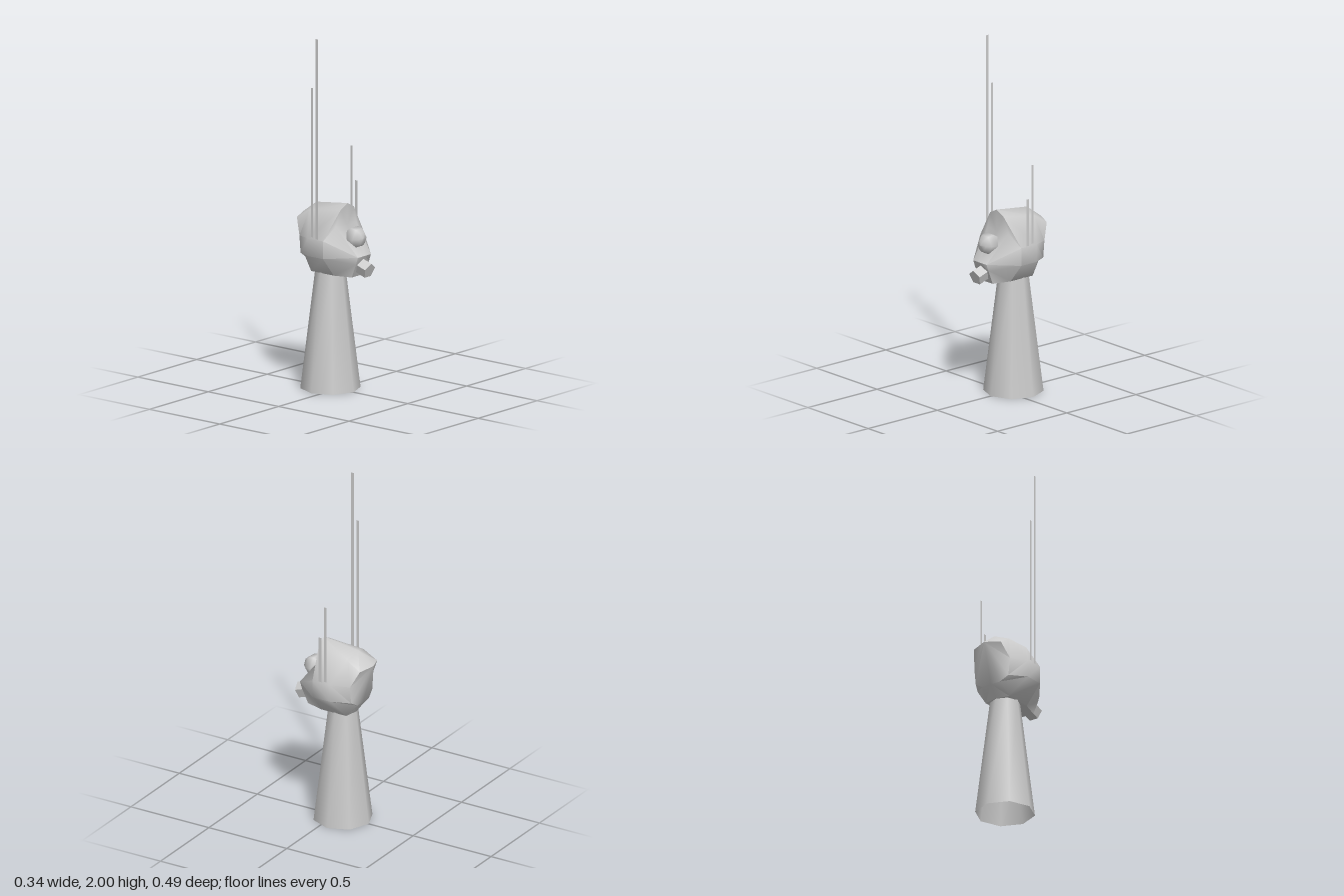
import * as THREE from 'three';
import { toCreasedNormals } from 'three/addons/utils/BufferGeometryUtils.js';

const grey = new THREE.MeshStandardMaterial({ color: 0xcccccc, side: THREE.DoubleSide });
const greyFlat = new THREE.MeshStandardMaterial({ color: 0xcccccc, flatShading: true });

function part(group, name, geometry, material, x = 0, y = 0, z = 0) {
  const mesh = new THREE.Mesh(geometry, material);
  mesh.name = name;
  mesh.position.set(x, y, z);
  group.add(mesh);
  return mesh;
}

// Skins half rings (top centre to bottom centre), mirrored in x, running back to front
function loft(halfRings) {
  const rings = halfRings.map(half => [
    ...half,
    ...half.slice(1, -1).reverse().map(([x, y, z]) => [-x, y, z]),
  ]);
  const positions = [];
  const key = p => p.join();
  const tri = (a, b, c) => {
    if (new Set([key(a), key(b), key(c)]).size === 3) positions.push(...a, ...b, ...c);
  };
  const n = rings[0].length;
  for (let i = 0; i < rings.length - 1; i++) {
    for (let j = 0; j < n; j++) {
      const k = (j + 1) % n;
      const a = rings[i][j], b = rings[i][k], c = rings[i + 1][k], d = rings[i + 1][j];
      // mirror the diagonals so both sides match
      if (j < n / 2) { tri(a, d, b); tri(b, d, c); }
      else { tri(a, c, b); tri(a, d, c); }
    }
  }
  const back = rings[0], front = rings[rings.length - 1];
  for (let j = 1; j < n - 1; j++) {
    tri(back[0], back[j], back[j + 1]);
    tri(front[0], front[j + 1], front[j]);
  }
  const geometry = new THREE.BufferGeometry();
  geometry.setAttribute('position', new THREE.Float32BufferAttribute(positions, 3));
  return toCreasedNormals(geometry, 0.9);
}

export function createModel() {
  const model = new THREE.Group();
  model.name = 'sensorTower';

  // Tapered eight-sided column, open at both ends
  part(model, 'column', new THREE.CylinderGeometry(0.083, 0.165, 0.67, 8, 1, true), grey, 0, 0.335, -0.05);

  // Faceted head: rear, crown, hood rim, hood step, nose
  part(model, 'head', loft([
    [[0, 0.96, -0.245], [0.09, 0.95, -0.213], [0.12, 0.86, -0.17], [0.11, 0.76, -0.17], [0.06, 0.73, -0.18], [0, 0.73, -0.18]],
    [[0, 1.03, -0.148], [0.085, 1.0, -0.13], [0.17, 0.87, -0.07], [0.17, 0.77, -0.07], [0.08, 0.66, -0.12], [0, 0.66, -0.137]],
    [[0, 1.058, 0.072], [0.055, 1.03, 0.07], [0.17, 0.87, 0.04], [0.17, 0.77, 0.04], [0.08, 0.66, 0.04], [0, 0.66, 0.04]],
    [[0, 0.93, 0.07], [0.088, 0.94, 0.06], [0.17, 0.87, 0.04], [0.17, 0.77, 0.04], [0.08, 0.66, 0.04], [0, 0.66, 0.04]],
    [[0, 0.78, 0.193], [0.055, 0.78, 0.192], [0.055, 0.78, 0.192], [0.055, 0.74, 0.178], [0.05, 0.66, 0.143], [0, 0.66, 0.143]],
  ]), grey);

  // Six-sided domed eye under the hood
  const eyeProfile = [[0.03, -0.055], [0.065, 0], [0.056, 0.034], [0.034, 0.059], [0, 0.066]]
    .map(([r, h]) => new THREE.Vector2(r, h));
  const eye = part(model, 'eye', new THREE.LatheGeometry(eyeProfile, 6, Math.PI / 2), grey, 0, 0.875, 0.12);
  eye.rotation.x = Math.PI / 2;

  // Five-sided snout, tipped slightly downward
  const snout = part(model, 'snout',
    new THREE.CylinderGeometry(0.045, 0.045, 0.1, 5, 1, false, Math.PI), greyFlat, 0, 0.717, 0.18);
  snout.rotation.x = THREE.MathUtils.degToRad(109);

  // Thin blade antennas: a tall pair on the right, a short pair on the left
  const antennas = [
    ['rightFrontAntenna', -1, -0.006, 0.86, 2.0, 0.018],
    ['rightRearAntenna', -1, -0.041, 0.88, 1.72, 0.014],
    ['leftFrontAntenna', 1, -0.006, 0.86, 1.14, 0.018],
    ['leftRearAntenna', 1, -0.041, 0.88, 1.33, 0.014],
  ];
  for (const [name, side, z, bottom, top, width] of antennas) {
    const blade = part(model, name, new THREE.PlaneGeometry(width, top - bottom), grey,
      side * 0.168, (bottom + top) / 2, z);
    blade.rotation.y = side * Math.PI / 2;
  }

  return model;
}
